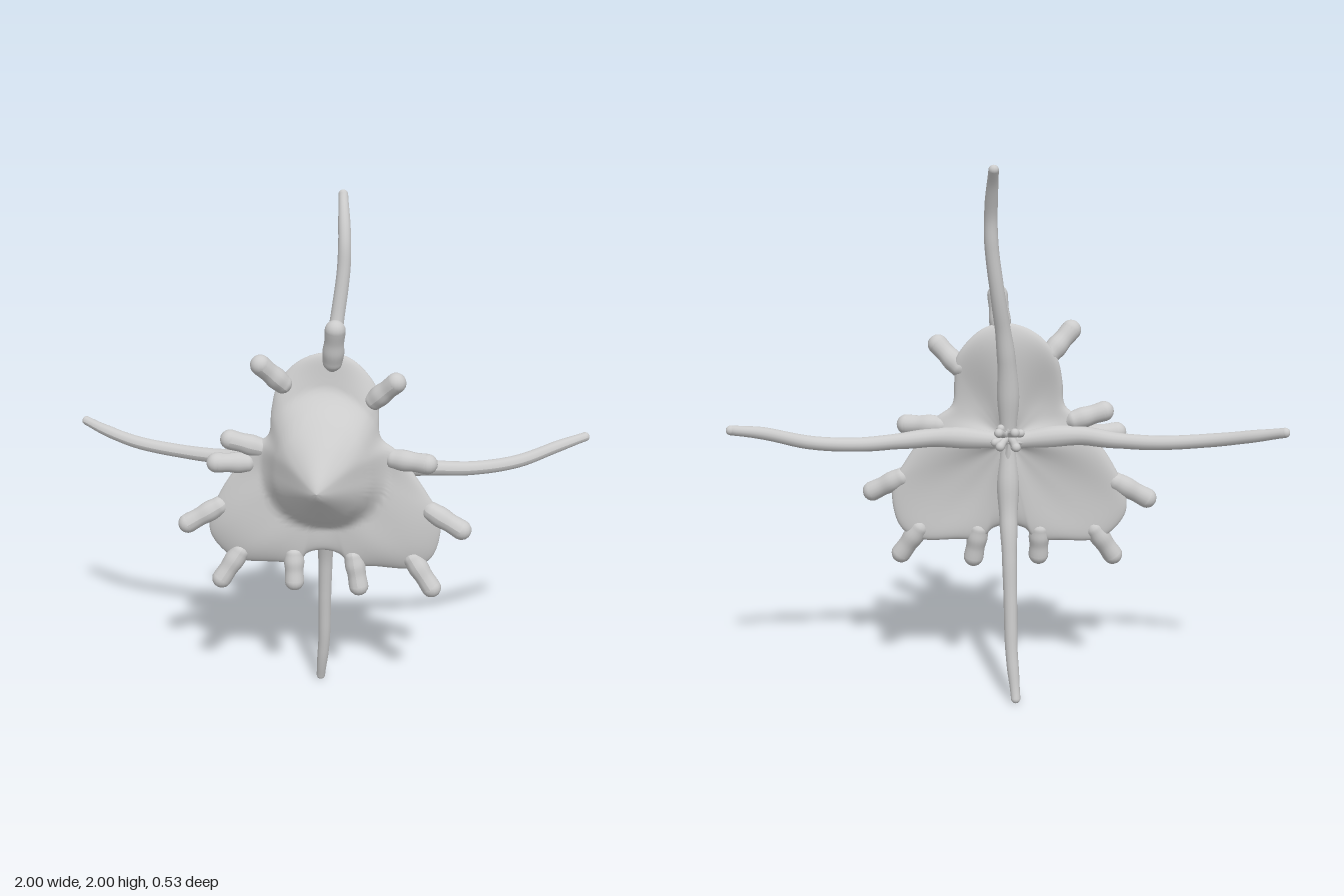
import * as THREE from 'three';

const material = new THREE.MeshStandardMaterial({ color: 0xcccccc, roughness: 0.8, side: THREE.DoubleSide });
const vec = (p) => new THREE.Vector3(...p);
const CENTRE_Y = 1;

function mesh(name, geometry) {
  const m = new THREE.Mesh(geometry, material);
  m.name = name;
  return m;
}

// Round-ended limb along a smooth path, its radius running through the given list
function limb(name, points, radii, steps = 40, sides = 14) {
  const curve = new THREE.CatmullRomCurve3(points.map(vec), false, 'centripetal');
  const geometry = new THREE.TubeGeometry(curve, steps, 1, sides);
  const pos = geometry.attributes.position;
  const p = new THREE.Vector3();
  const radiusAt = (t) => {
    const s = t * (radii.length - 1), i = Math.min(Math.floor(s), radii.length - 2);
    return THREE.MathUtils.lerp(radii[i], radii[i + 1], THREE.MathUtils.smoothstep(s - i, 0, 1));
  };
  for (let i = 0; i <= steps; i++) {
    const c = curve.getPointAt(i / steps);
    for (let j = 0; j <= sides; j++) {
      const k = i * (sides + 1) + j;
      p.fromBufferAttribute(pos, k).sub(c).multiplyScalar(radiusAt(i / steps)).add(c);
      pos.setXYZ(k, p.x, p.y, p.z);
    }
  }
  geometry.computeVertexNormals();
  const group = new THREE.Group();
  group.name = name;
  group.add(mesh(name + 'Shaft', geometry));
  const tip = mesh(name + 'Tip', new THREE.SphereGeometry(radii[radii.length - 1], sides, 10));
  tip.position.copy(vec(points[points.length - 1]));
  group.add(tip);
  return group;
}

// Lobed outline of the bell, counter-clockwise from its left side
const outline = [
  [0.33, 1.0], [0.27, 1.08], [0.21, 1.13], [0.2, 1.22], [0.195, 1.3], [0.15, 1.37], [0.09, 1.42],
  [0.02, 1.44], [-0.06, 1.425], [-0.13, 1.38], [-0.18, 1.31], [-0.2, 1.22], [-0.21, 1.13], [-0.27, 1.08],
  [-0.33, 1.0], [-0.39, 0.91], [-0.44, 0.8], [-0.445, 0.72], [-0.4, 0.65], [-0.34, 0.61],
  [-0.2, 0.605], [-0.1, 0.61], [-0.065, 0.65], [0, 0.665], [0.06, 0.65], [0.1, 0.61],
  [0.2, 0.605], [0.34, 0.605], [0.41, 0.65], [0.44, 0.74], [0.435, 0.83], [0.39, 0.91],
];

// The upper lobe leans backwards
const lean = (y) => -0.035 * THREE.MathUtils.smoothstep(y, 1.12, 1.4);

// 1 along the four arms, 0 in the middle of the lobes between them
const ridgeAt = (x, y) => Math.abs(Math.cos(2 * Math.atan2(y - CENTRE_Y, x))) ** 3;

// Front: pointed hood over a softly swollen skirt
function frontZ(x, y, t) {
  const dy = y - CENTRE_Y;
  const d = Math.hypot(x / 0.235, dy / (dy > 0 ? 0.3 : 0.235));
  const hood = Math.max(0, 1.03 - Math.sqrt(d * d + 0.014));
  const foot = 0.55 + 0.45 * Math.min(1, hood / 0.25);
  const swell = (1 - ridgeAt(x, y)) * Math.sin(Math.PI * t * t);
  return 0.012 + 0.018 * swell + 0.272 * hood * foot;
}

// Back: hollows inside the lobes, deeper ridges towards the arms
function backZ(x, y, t) {
  const ridge = ridgeAt(x, y);
  return -0.034 - 0.025 * (1 - t) - 0.02 * ridge * (1 - t) + 0.022 * (1 - ridge) * Math.sin(Math.PI * t);
}

function bellGeometry() {
  const segments = 160, rings = 32;
  const rim = new THREE.CatmullRomCurve3(outline.map(([x, y]) => new THREE.Vector3(x, y, 0)), true).getPoints(segments);
  const positions = [], index = [];
  // Rings run from the front apex out to the rim and back in behind
  for (let r = 0; r <= 2 * rings; r++) {
    const front = r <= rings;
    const t = Math.sin((Math.PI / 2) * (front ? r : 2 * rings - r) / rings);
    const edge = Math.sqrt(Math.max(0, 1 - t ** 14));
    for (let i = 0; i < segments; i++) {
      const x = rim[i].x * t, y = CENTRE_Y + (rim[i].y - CENTRE_Y) * t;
      const z = front ? frontZ(x, y, t) : backZ(x, y, t);
      positions.push(x, y, -0.01 + (z + 0.01) * edge + lean(y));
    }
  }
  for (let r = 0; r < 2 * rings; r++) {
    for (let i = 0; i < segments; i++) {
      const j = (i + 1) % segments;
      const a = r * segments + i, b = r * segments + j, c = a + segments, d = b + segments;
      if (r > 0) index.push(a, c, b);
      if (r < 2 * rings - 1) index.push(b, c, d);
    }
  }
  // Close the apex and the back centre
  const geometry = new THREE.BufferGeometry();
  geometry.setAttribute('position', new THREE.Float32BufferAttribute(positions, 3));
  geometry.setIndex(index);
  geometry.computeVertexNormals();
  return geometry;
}

export function createModel() {
  const group = new THREE.Group();
  group.name = 'jellyCreature';
  group.add(mesh('bell', bellGeometry()));

  // Stubby fingers around the rim: buried base and tip centre
  const fingers = [
    [[0.022, 1.36, -0.045], [0.04, 1.535, 0.008]],
    [[-0.125, 1.29, -0.035], [-0.23, 1.405, 0.028]],
    [[0.15, 1.24, -0.03], [0.262, 1.35, 0.02]],
    [[-0.2, 1.06, -0.02], [-0.355, 1.105, 0.0]],
    [[-0.25, 1.01, -0.02], [-0.405, 1.02, 0.025]],
    [[0.21, 1.05, -0.02], [0.385, 1.045, 0.025]],
    [[-0.36, 0.86, -0.01], [-0.525, 0.765, 0.02]],
    [[0.36, 0.87, -0.01], [0.52, 0.785, 0.02]],
    [[-0.3, 0.69, -0.01], [-0.4, 0.538, 0.022]],
    [[0.31, 0.69, -0.01], [0.415, 0.538, 0.018]],
    [[-0.12, 0.69, -0.012], [-0.115, 0.538, 0.015]],
    [[0.105, 0.69, -0.012], [0.135, 0.528, 0.012]],
  ];
  fingers.forEach(([base, tip], i) => {
    const middle = base.map((v, k) => (v + tip[k]) / 2);
    group.add(limb('rimFinger' + (i + 1), [base, middle, tip], [0.008, 0.036, 0.04, 0.036, 0.038], 24, 16));
  });

  // Four long arms trailing behind the bell, flaring where they join it
  const arms = {
    upperArm: [[0, 1.03, -0.04], [0, 1.18, -0.05], [0.005, 1.3, -0.072], [0.015, 1.4, -0.09], [0.035, 1.55, -0.125],
      [0.055, 1.72, -0.147], [0.057, 1.82, -0.16], [0.05, 1.92, -0.205], [0.043, 1.98, -0.248]],
    lowerArm: [[0, 0.97, -0.035], [0, 0.78, -0.052], [-0.005, 0.6, -0.09], [-0.01, 0.4, -0.11],
      [-0.015, 0.2, -0.13], [-0.027, 0.07, -0.15], [-0.032, 0.019, -0.163]],
    leftArm: [[0.03, 1, -0.04], [0.25, 1.01, -0.035], [0.4, 1, -0.06], [0.55, 0.993, -0.09],
      [0.72, 1.01, -0.135], [0.88, 1.058, -0.195], [0.98, 1.08, -0.247]],
    rightArm: [[-0.03, 1, -0.04], [-0.25, 1.02, -0.035], [-0.4, 1.01, -0.07], [-0.55, 1.01, -0.105],
      [-0.75, 1.03, -0.14], [-0.9, 1.06, -0.195], [-0.98, 1.08, -0.235]],
  };
  for (const [name, path] of Object.entries(arms))
    group.add(limb(name, path, [0.032, 0.042, 0.034, 0.028, 0.026, 0.025, 0.023, 0.018], 64));

  // Small frilled mouth at the centre of the back
  const mouth = new THREE.Group();
  mouth.name = 'mouth';
  for (let i = 0; i < 4; i++) {
    const a = 0.7 + i * Math.PI / 2, c = Math.cos(a), s = Math.sin(a);
    const fork = [0.022 * c, 1.025 + 0.018 * s, -0.095];
    const depth = -0.13 - 0.014 * (i % 3);
    mouth.add(limb('mouthLip', [[0, 1.02, -0.05], fork, [0.042 * c, 1.025 + 0.036 * s, depth]],
      [0.024, 0.016, 0.014, 0.017], 14, 12));
    mouth.add(limb('mouthFrill', [fork, [0.05 * c - 0.02 * s, 1.025 + 0.036 * s + 0.015 * c, -0.105]],
      [0.013, 0.015], 8, 12));
  }
  group.add(mouth);
  return group;
}
